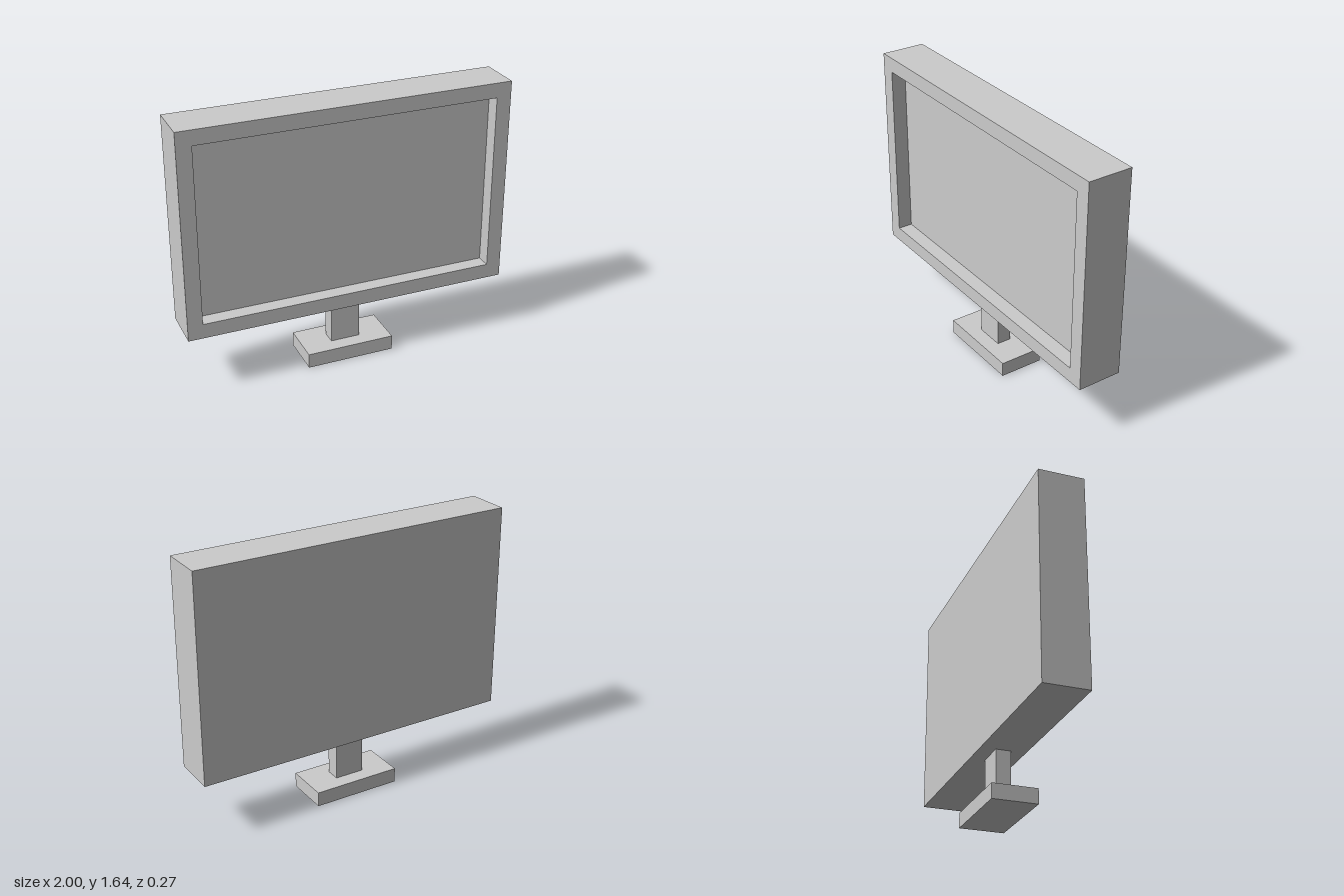
import * as THREE from 'three';

const U = 1 / 11; // base module: the model is 22 units wide and 18 high
const material = new THREE.MeshStandardMaterial({ color: 0xcccccc, flatShading: true });

// Box standing on height y, centred on x and z unless shifted in z
function box(name, w, h, d, y, z = 0) {
  const mesh = new THREE.Mesh(new THREE.BoxGeometry(w * U, h * U, d * U), material);
  mesh.name = name;
  mesh.position.set(0, (y + h / 2) * U, z * U);
  return mesh;
}

// Adds a centred rectangle to a shape or path
function rectangle(path, w, h) {
  const x = (w / 2) * U, y = (h / 2) * U;
  path.moveTo(-x, -y).lineTo(x, -y).lineTo(x, y).lineTo(-x, y).closePath();
  return path;
}

export function createModel() {
  const model = new THREE.Group();
  model.name = 'monitor';

  // Stand
  model.add(box('base', 6, 1, 3, 0));
  model.add(box('neck', 2, 3, 1, 1));

  // Casing: solid rear block, whose front face is the recessed screen
  model.add(box('casingAndScreen', 22, 14, 2, 4, -0.5));

  // Bezel: raised frame around the screen
  const outline = rectangle(new THREE.Shape(), 22, 14);
  outline.holes.push(rectangle(new THREE.Path(), 20, 12));
  const bezel = new THREE.Mesh(
    new THREE.ExtrudeGeometry(outline, { depth: U, bevelEnabled: false }),
    material
  );
  bezel.name = 'bezel';
  bezel.position.set(0, 11 * U, 0.5 * U);
  model.add(bezel);

  return model;
}
